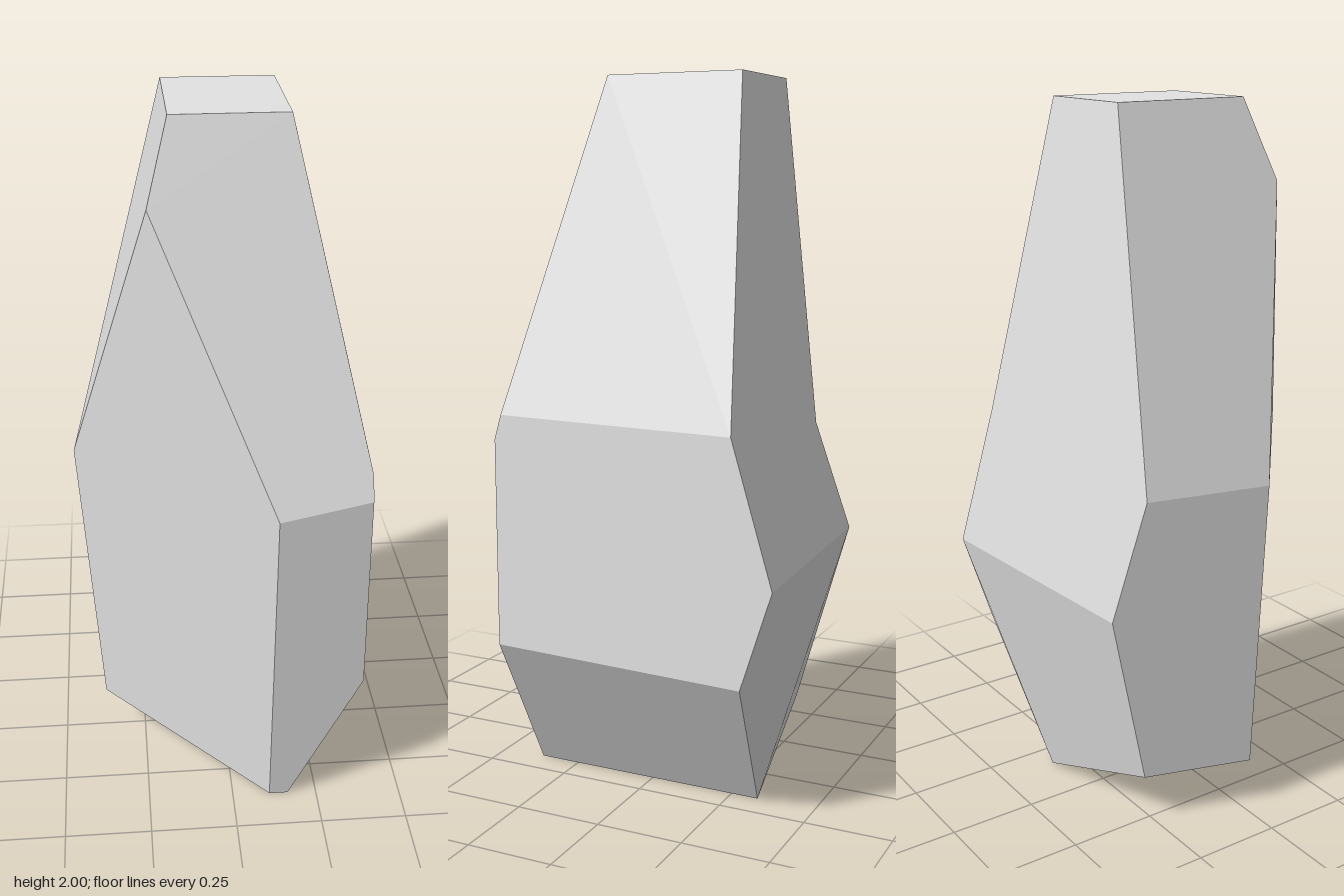
import * as THREE from 'three';

// Corners of the faceted boulder, from the top down
const corners = [
  // 0-3: flat rectangular top
  [-0.15, 2, -0.267], [0.165, 2, -0.267], [0.165, 2, 0.13], [-0.15, 2, 0.13],
  // 4: chipped front left shoulder
  [-0.21, 1.78, 0.203],
  // 5-10: waist, where the upper slopes end
  [0.428, 1.08, -0.353], [0.375, 1.08, 0.362], [0.375, 1.01, 0.383],
  [0.11, 1.01, 0.47], [-0.43, 1.01, 0.02], [-0.332, 1, -0.308],
  // 11-12: ridge across the back
  [0.428, 0.69, -0.47], [-0.332, 0.687, -0.42],
  // 13-14: lower right edge
  [0.428, 0.415, -0.382], [0.375, 0.415, 0.383],
  // 15-19: tilted underside
  [0.165, 0, -0.33], [0.165, 0, 0.37], [0.11, 0, 0.37],
  [-0.37, 0.15, 0.02], [-0.273, 0.149, -0.281],
].map((c) => new THREE.Vector3(...c));

// Each facet is a fan around its first corner
const facets = [
  [3, 2, 1, 0],             // top
  [2, 3, 4, 8, 7, 6],       // front, upper
  [8, 17, 16, 14, 7],       // front, lower
  [8, 4, 9, 18, 17],        // front left
  [2, 6, 5, 1],             // right, upper
  [6, 7, 14, 13, 11, 5],    // right, middle
  [13, 14, 16, 15],         // right, lower
  [10, 0, 1, 5, 11, 12],    // back, upper
  [15, 19, 12, 11, 13],     // back, lower
  [0, 10, 9, 4, 3],         // left, upper
  [18, 9, 10, 12, 19],      // left, lower
  [15, 16, 17, 18, 19],     // underside
];

// Gives each facet one shared normal, so that it shades evenly
function facetGeometry() {
  const positions = [];
  const normals = [];
  for (const facet of facets) {
    const [hub, ...rim] = facet.map((i) => corners[i]);
    const normal = new THREE.Vector3();
    for (let i = 0; i < rim.length - 1; i++) {
      const a = rim[i].clone().sub(hub);
      const b = rim[i + 1].clone().sub(hub);
      normal.add(a.cross(b));
    }
    normal.normalize();
    for (let i = 0; i < rim.length - 1; i++) {
      for (const p of [hub, rim[i], rim[i + 1]]) {
        positions.push(p.x, p.y, p.z);
        normals.push(normal.x, normal.y, normal.z);
      }
    }
  }
  const geometry = new THREE.BufferGeometry();
  geometry.setAttribute('position', new THREE.Float32BufferAttribute(positions, 3));
  geometry.setAttribute('normal', new THREE.Float32BufferAttribute(normals, 3));
  return geometry;
}

export function createModel() {
  const group = new THREE.Group();
  group.name = 'rock';

  const stone = new THREE.MeshStandardMaterial({ color: 0xe2e2e2 });
  stone.name = 'pale grey stone';

  const boulder = new THREE.Mesh(facetGeometry(), stone);
  boulder.name = 'boulder';
  group.add(boulder);
  return group;
}
